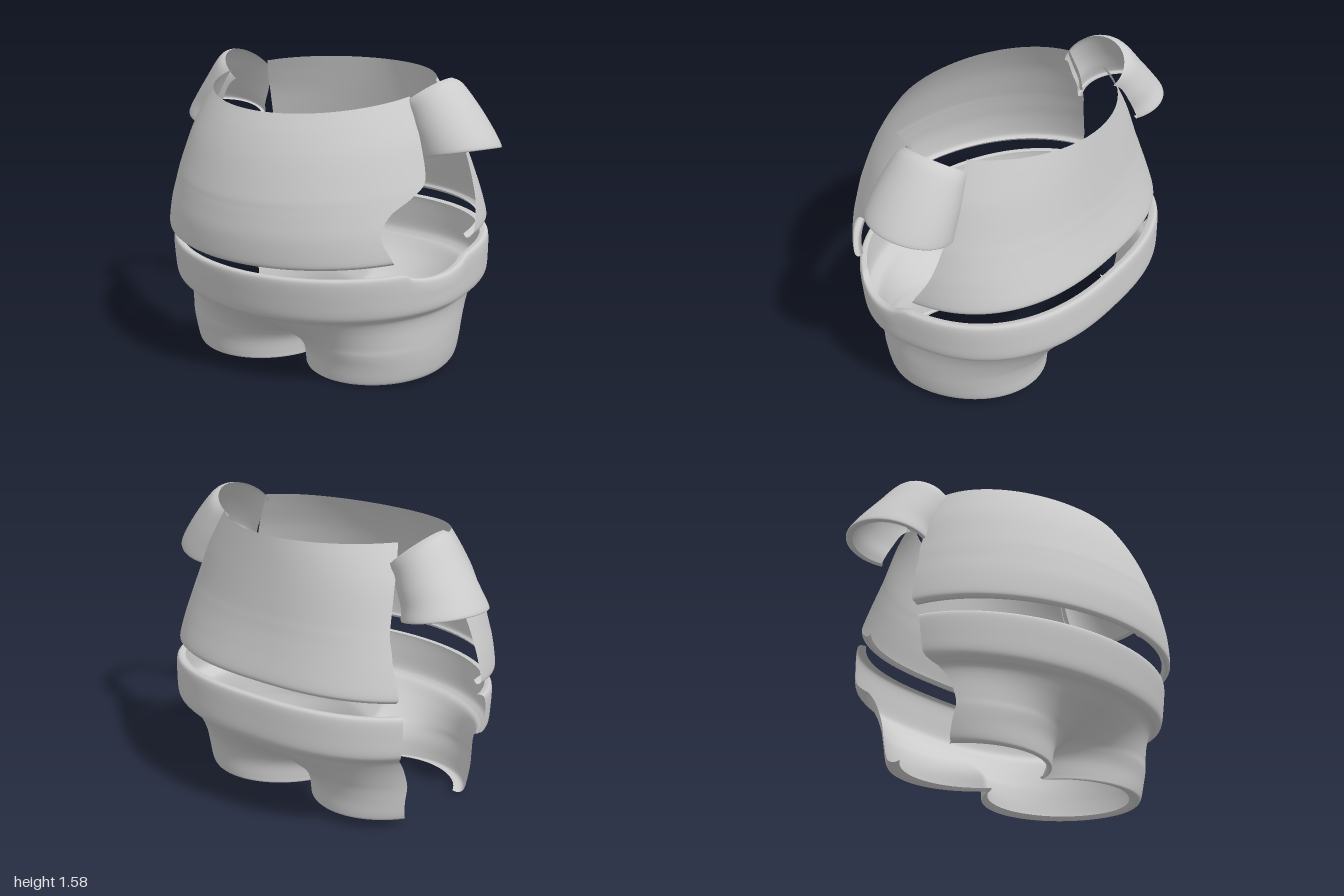
import * as THREE from 'three';

const material = new THREE.MeshStandardMaterial({ color: 0xcccccc, side: THREE.DoubleSide });
const lerp = THREE.MathUtils.lerp;

// Smooth blend through a list of key rows, t in 0..1
function keyRow(keys, t) {
  const f = t * (keys.length - 1);
  const i = Math.min(Math.floor(f), keys.length - 2);
  const u = f - i;
  const a = keys[Math.max(i - 1, 0)], b = keys[i], c = keys[i + 1], d = keys[Math.min(i + 2, keys.length - 1)];
  return b.map((_, k) => 0.5 * (2 * b[k] + (c[k] - a[k]) * u +
    (2 * a[k] - 5 * b[k] + 4 * c[k] - d[k]) * u * u + (3 * b[k] - a[k] - 3 * c[k] + d[k]) * u * u * u));
}

// Grid surface from a rule point(s, t)
function sheet(name, rows, cols, point) {
  const pos = [], index = [];
  for (let i = 0; i <= rows; i++)
    for (let j = 0; j <= cols; j++) {
      pos.push(...point(i / rows, j / cols));
      if (i < rows && j < cols) {
        const a = i * (cols + 1) + j, c = a + cols + 1;
        index.push(a, c, a + 1, a + 1, c, c + 1);
      }
    }
  const g = new THREE.BufferGeometry();
  g.setAttribute('position', new THREE.Float32BufferAttribute(pos, 3));
  g.setIndex(index);
  g.computeVertexNormals();
  const mesh = new THREE.Mesh(g, material);
  mesh.name = name;
  return mesh;
}

// Body outline at angle a (0 = +x, PI/2 = front). p squares off the back,
// lobe pinches the middle into two leg openings.
function outline(a, W, F, B, p, lobe = 0) {
  const co = Math.cos(a), si = Math.sin(a), front = si >= 0;
  const q = front ? 1 : p, depth = front ? F : -B;
  const sx = Math.sign(co) || 1;
  const ex = W * Math.pow(Math.abs(co), q), ez = depth * Math.pow(Math.abs(si), q);
  const k = front ? 0.93 : 0.88;
  const quarter = Math.asin(Math.min(1, Math.abs(si))) / (Math.PI / 2);
  const phi = quarter * Math.acos(-k);
  const lx = W * (k + Math.cos(phi)) / (1 + k), lz = depth * Math.sin(phi);
  return [sx * lerp(ex, lx, lobe), lerp(ez, lz, lobe)];
}

// Shirt rows: height, half width, front, back, squareness,
// then z of the cut edges: front +x, front -x, back -x, back +x
const shirtRows = [
  [0.025, 0.815, 0.715, 0.675, 0.80, 0.41, 0.06, -0.46, -0.07],
  [0.000, 0.832, 0.732, 0.692, 0.80, 0.42, 0.06, -0.47, -0.07],
  [0.010, 0.853, 0.750, 0.708, 0.80, 0.43, 0.06, -0.48, -0.08],
  [0.050, 0.863, 0.760, 0.713, 0.80, 0.45, 0.05, -0.48, -0.10],
  [0.210, 0.840, 0.760, 0.680, 0.82, 0.48, 0.04, -0.47, -0.17],
  [0.340, 0.812, 0.745, 0.655, 0.84, 0.42, 0.03, -0.45, -0.20],
  [0.420, 0.795, 0.733, 0.643, 0.86, 0.30, 0.02, -0.44, -0.21],
  [0.500, 0.775, 0.718, 0.632, 0.88, 0.21, 0.01, -0.42, -0.22],
  [0.720, 0.715, 0.658, 0.608, 0.92, 0.17, 0.00, -0.36, -0.23],
  [0.880, 0.652, 0.597, 0.592, 0.96, 0.14, 0.00, -0.30, -0.22],
  [1.000, 0.600, 0.535, 0.580, 1.00, 0.11, 0.00, -0.25, -0.21],
];

function shirtPanel(name, isFront) {
  return sheet(name, 60, 72, (s, t) => {
    const [v, W, F, B, p, zFR, zFL, zBL, zBR] = keyRow(shirtRows, s);
    const back = z => Math.asin(Math.pow(Math.max(0, -z) / B, 1 / p));
    const a = isFront
      ? lerp(Math.asin(zFR / F), Math.PI - Math.asin(zFL / F), t)
      : lerp(Math.PI + back(zBL), 2 * Math.PI - back(zBR), t);
    const [x, z] = outline(a, W, F, B, p);
    return [x, lerp(0.735 - 0.09 * z, 1.49 - 0.115 * z - 0.08 * z * z, v), z];
  });
}

// Trouser rows, hem to waistband: height, tilt, half width, front, back,
// squareness, lobe, then angles of the two cut edges on -x (front, back)
const trouserRows = [
  [0.040, 0.065, 0.690, 0.350, 0.420, 1.00, 1.00, 0.22, 0.40],
  [0.026, 0.065, 0.712, 0.378, 0.455, 1.00, 1.00, 0.24, 0.40],
  [0.029, 0.065, 0.735, 0.398, 0.482, 1.00, 1.00, 0.26, 0.40],
  [0.055, 0.070, 0.752, 0.406, 0.490, 1.00, 0.99, 0.27, 0.42],
  [0.130, 0.075, 0.768, 0.426, 0.506, 1.00, 0.90, 0.30, 0.44],
  [0.200, 0.080, 0.776, 0.468, 0.550, 0.98, 0.65, 0.34, 0.45],
  [0.250, 0.085, 0.780, 0.500, 0.600, 0.95, 0.40, 0.36, 0.47],
  [0.340, 0.085, 0.785, 0.557, 0.675, 0.88, 0.10, 0.34, 0.52],
  [0.400, 0.088, 0.797, 0.600, 0.720, 0.83, 0.00, 0.27, 0.56],
  [0.425, 0.090, 0.825, 0.640, 0.745, 0.80, 0.00, 0.22, 0.58],
  [0.460, 0.092, 0.860, 0.664, 0.760, 0.80, 0.00, 0.19, 0.60],
  [0.550, 0.091, 0.868, 0.682, 0.760, 0.80, 0.00, 0.17, 0.60],
  [0.640, 0.090, 0.868, 0.695, 0.756, 0.80, 0.00, 0.15, 0.60],
  [0.668, 0.090, 0.855, 0.687, 0.742, 0.80, 0.00, 0.13, 0.60],
  [0.665, 0.090, 0.825, 0.660, 0.710, 0.80, 0.00, 0.13, 0.60],
];

function trousers() {
  return sheet('trousers', 84, 176, (s, t) => {
    const [c, tilt, W, F, B, p, lobe, cutF, cutB] = keyRow(trouserRows, s);
    const a = lerp(Math.PI + cutB, 3 * Math.PI - cutF, t);
    const [x, z] = outline(a, W, F, B, p, THREE.MathUtils.clamp(lobe, 0, 1));
    // shallow dip in the waistband on the +x side
    const near = x > 0 && z > 0 && z < 0.36 ? Math.sin(Math.PI * z / 0.36) : 0;
    const dip = 0.048 * Math.sqrt(near) * THREE.MathUtils.smoothstep(c, 0.5, 0.64);
    return [x, c - tilt * z - dip, z];
  });
}

// Cap sleeve: an open arch from the shoulder opening to a rolled hem
function sleeve(name, side, { zTop, zHem, peak, hemDepth, hemTilt, tuck }) {
  // centre x, x radius, centre y, y rise, z blend, z radius, half span in degrees
  const rows = [
    [0.590, 0.120, 1.465, peak - 1.465, 0.00, 0.175, 100],
    [0.645, 0.120, 1.435, peak - 1.455, 0.20, 0.195, 104],
    [0.708, 0.155, 1.345, 0.088, 0.50, 0.215, 108],
    [0.765, 0.183, 1.262, 0.064, 0.80, 0.226, 112],
    [0.797, 0.202, 1.198, 0.050, 1.00, hemDepth, 115],
    [0.795, 0.195, 1.186, 0.046, 1.00, hemDepth - 0.01, 115],
    [0.790, 0.175, 1.192, 0.043, 1.00, hemDepth - 0.03, 115],
  ];
  return sheet(name, 36, 48, (s, t) => {
    const [cx, rx, cy, ry, zb, rz, span] = keyRow(rows, s);
    // tuck carries the back end of the arch further in to meet the shirt
    const a = THREE.MathUtils.degToRad(lerp(-span - tuck, span, t));
    const z = lerp(zTop, zHem, zb) + rz * Math.sin(a);
    const y = cy + ry * Math.cos(a) + zb * hemTilt * rz * Math.sin(a);
    return [side * (cx + rx * Math.cos(a)), y, z];
  });
}

export function createModel() {
  const model = new THREE.Group();
  model.name = 'outfit';
  model.add(
    shirtPanel('shirtFront', true),
    shirtPanel('shirtBack', false),
    sleeve('leftSleeve', 1, { zTop: -0.055, zHem: -0.04, peak: 1.555, hemDepth: 0.23, hemTilt: 0.12, tuck: 4 }),
    sleeve('rightSleeve', -1, { zTop: -0.165, zHem: -0.215, peak: 1.575, hemDepth: 0.245, hemTilt: -0.1, tuck: 14 }),
    trousers(),
  );
  // trouser sheet winds around the same way as the shirt, sleeves mirror it
  return model;
}
